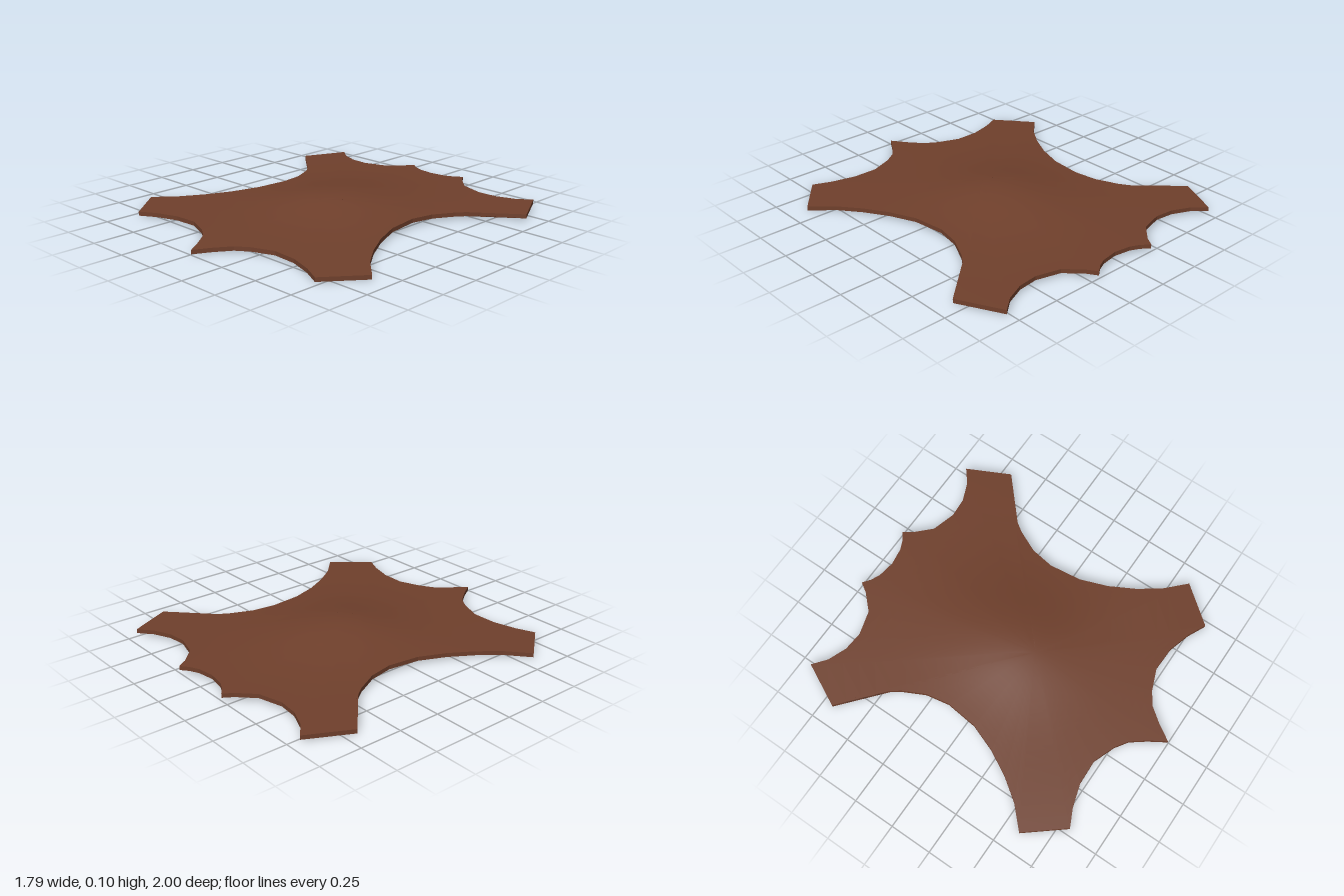
import * as THREE from 'three';

// Half outline of the hide as [x, z], from the front tip round the left side to the back
const HALF = [
  [0, 0.995], [0.06, 0.9], [0.125, 0.815], [0.2, 0.765], [0.33, 0.715], [0.475, 0.72],
  [0.61, 0.76], [0.715, 0.81], [0.89, 0.595], [0.77, 0.48], [0.68, 0.355], [0.6, 0.21],
  [0.54, 0.05], [0.518, -0.14], [0.542, -0.28], [0.605, -0.41], [0.69, -0.53],
  [0.79, -0.61], [0.895, -0.685], [0.77, -0.935], [0.69, -0.87], [0.58, -0.825],
  [0.465, -0.815], [0.325, -0.855], [0.235, -0.945], [0.2, -1], [0.155, -0.965],
  [0.1, -0.94], [0, -0.925],
];
const OUTLINE = [...HALF, ...HALF.slice(1, -1).reverse().map(([x, z]) => [-x, z])];
const CENTRE_Z = 0.1;
const RINGS = 14;
const THICKNESS = 0.024;

// Gentle hump in the middle, drooping towards the legs
function topHeight(x, z) {
  const dz = (z + 0.05) / (z > -0.05 ? 0.35 : 0.43);
  const hump = 0.061 * Math.exp(-((x / 0.36) ** 2) - dz * dz);
  const droop = 0.015 * x * x + (z > 0 ? 0.017 * z * z : 0);
  return 0.046 + hump - droop;
}

// Sheet of concentric rings shrinking from the outline to the centre
function sheet(drop, flip) {
  const n = OUTLINE.length;
  const pos = [0, topHeight(0, CENTRE_Z) - drop, CENTRE_Z];
  const index = [];
  const tri = (a, b, c) => (flip ? index.push(a, c, b) : index.push(a, b, c));
  for (let r = 1; r <= RINGS; r++) {
    const s = r / RINGS;
    for (let i = 0; i < n; i++) {
      const x = OUTLINE[i][0] * s;
      const z = CENTRE_Z + (OUTLINE[i][1] - CENTRE_Z) * s;
      pos.push(x, topHeight(x, z) - drop, z);
      const j = (i + 1) % n;
      const outer = 1 + (r - 1) * n;
      if (r === 1) {
        tri(0, outer + i, outer + j);
      } else {
        const inner = outer - n;
        tri(inner + i, outer + i, outer + j);
        tri(inner + i, outer + j, inner + j);
      }
    }
  }
  const geo = new THREE.BufferGeometry();
  geo.setAttribute('position', new THREE.Float32BufferAttribute(pos, 3));
  geo.setIndex(index);
  geo.computeVertexNormals();
  return geo;
}

// Thin cut edge joining the two sheets, one flat facet per outline segment
function rim() {
  const pos = [];
  OUTLINE.forEach(([x0, z0], i) => {
    const [x1, z1] = OUTLINE[(i + 1) % OUTLINE.length];
    const y0 = topHeight(x0, z0);
    const y1 = topHeight(x1, z1);
    const a = [x0, y0 - THICKNESS, z0];
    const b = [x1, y1 - THICKNESS, z1];
    const c = [x1, y1, z1];
    const d = [x0, y0, z0];
    pos.push(...a, ...b, ...c, ...a, ...c, ...d);
  });
  const geo = new THREE.BufferGeometry();
  geo.setAttribute('position', new THREE.Float32BufferAttribute(pos, 3));
  geo.computeVertexNormals();
  return geo;
}

export function createModel() {
  const group = new THREE.Group();
  group.name = 'hideRug';
  const leather = new THREE.MeshStandardMaterial({ color: 0x70402c });
  const add = (name, geo) => {
    const mesh = new THREE.Mesh(geo, leather);
    mesh.name = name;
    group.add(mesh);
  };
  add('hideTop', sheet(0, false));
  add('hideUnderside', sheet(THICKNESS, true));
  add('hideEdge', rim());

  // Stand on the ground
  group.position.y = -new THREE.Box3().setFromObject(group).min.y;
  return group;
}
